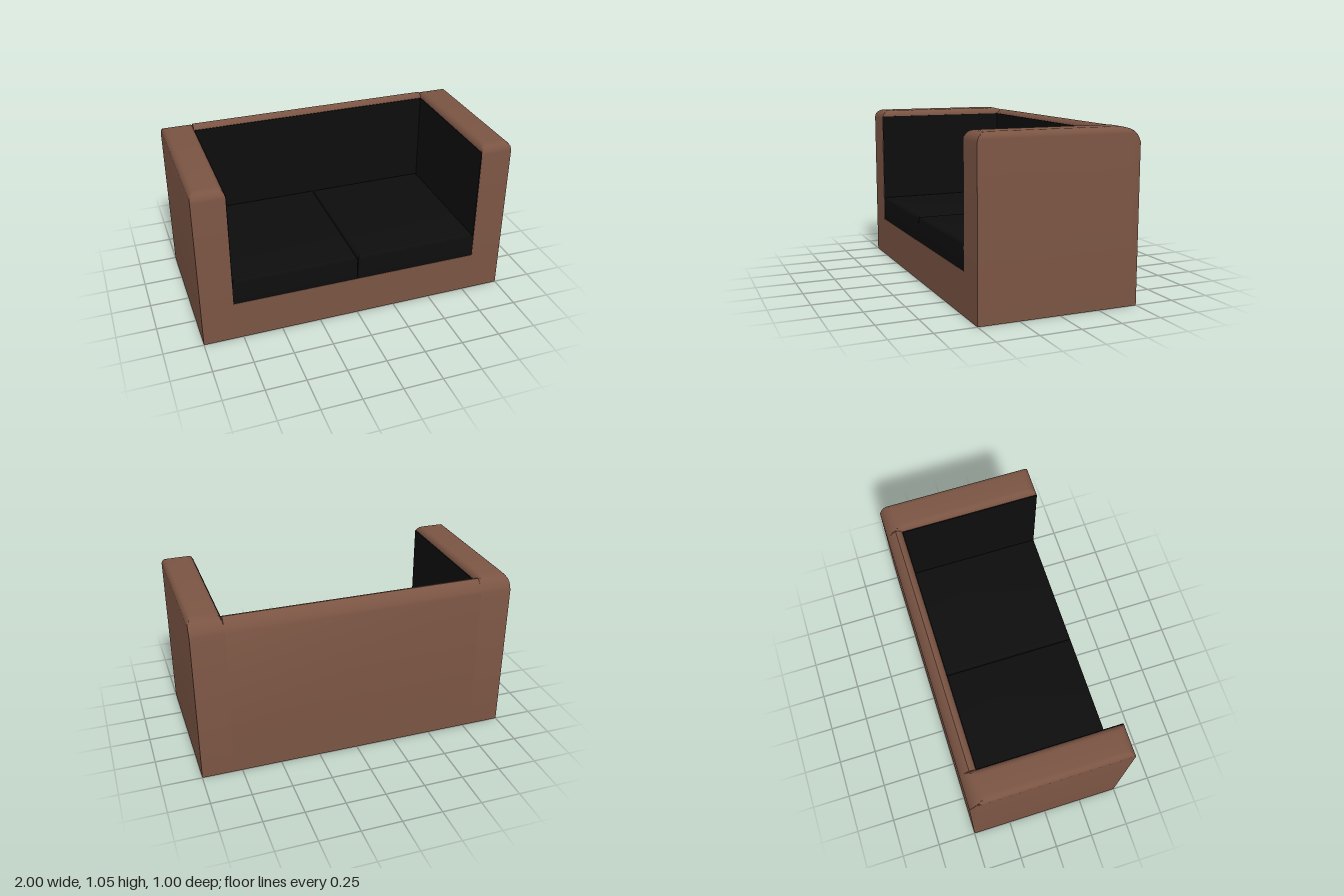
import * as THREE from 'three';
import { toCreasedNormals } from 'three/addons/utils/BufferGeometryUtils.js';

const leather = new THREE.MeshStandardMaterial({ color: 0x7a5443 });
const lining = new THREE.MeshStandardMaterial({ color: 0x0d0d0d });

// Quarter-round steps from an edge inwards: [distance, drop]
function roundSteps(radius, n = 5) {
  return Array.from({ length: n + 1 }, (_, i) => {
    const a = (i / n) * Math.PI / 2;
    return [radius * (1 - Math.cos(a)), radius * (1 - Math.sin(a))];
  });
}

// Profile [position, height] that is flat in the middle and rounded at both ends
function roundedProfile(from, to, height, radius) {
  const steps = roundSteps(radius);
  return [
    ...steps.map(([d, drop]) => [from + d, height - drop]),
    ...steps.reverse().map(([d, drop]) => [to - d, height - drop]),
  ];
}

// Box whose top follows the lower of two profiles, giving mitred rounded edges
function block(name, material, bottom, xProfile, zProfile) {
  const nx = xProfile.length - 1, nz = zProfile.length - 1;
  const geometry = new THREE.BoxGeometry(1, 1, 1, nx, 1, nz);
  const p = geometry.attributes.position;
  for (let i = 0; i < p.count; i++) {
    const [x, hx] = xProfile[Math.round((p.getX(i) + 0.5) * nx)];
    const [z, hz] = zProfile[Math.round((p.getZ(i) + 0.5) * nz)];
    p.setXYZ(i, x, p.getY(i) > 0 ? Math.min(hx, hz) : bottom, z);
  }
  const mesh = new THREE.Mesh(toCreasedNormals(geometry, 0.6), material);
  mesh.name = name;
  return mesh;
}

// Plain box given by its limits
function box(name, material, x0, x1, y0, y1, z0, z1) {
  return block(name, material, y0, [[x0, y1], [x1, y1]], [[z0, y1], [z1, y1]]);
}

export function createModel() {
  const sofa = new THREE.Group();
  sofa.name = 'sofa';

  // Base under the seat
  sofa.add(box('base', leather, -0.8, 0.8, 0, 0.26, -0.5, 0.5));

  // Backrest with a rolled top
  const rearRoll = [[-0.5, 0.96], [-0.49, 0.985], [-0.478, 1.005], [-0.46, 1.025]];
  sofa.add(block('backrest', leather, 0.26, [[-0.8, 1.04], [0.8, 1.04]],
    [...rearRoll, [-0.44, 1.04], [-0.425, 1.037], [-0.41, 1.027], [-0.4, 1.01]]));
  sofa.add(box('backLining', lining, -0.8, 0.8, 0.26, 1.01, -0.4, -0.395));

  // Arms: small rounding across, larger rounding at the front, sloped to the rear
  const frontRoll = roundSteps(0.055).reverse().map(([d, drop]) => [0.5 - d, 1.05 - drop]);
  const armLength = [...rearRoll, [-0.43, 1.04], [-0.39, 1.05], ...frontRoll];
  for (const side of [-1, 1]) {
    const label = side > 0 ? 'left' : 'right';
    const [a, b] = side > 0 ? [0.8, 1] : [-1, -0.8];
    sofa.add(block(label + 'Arm', leather, 0, roundedProfile(a, b, 1.05, 0.04), armLength));

    // Dark lining on the inner face of the arm
    const [c, d] = side > 0 ? [0.795, 0.8] : [-0.8, -0.795];
    sofa.add(box(label + 'ArmLining', lining, c, d, 0.26, 1.01, -0.395, 0.498));

    // Seat cushion with softened top edges
    const [e, f] = side > 0 ? [0.002, 0.795] : [-0.795, -0.002];
    sofa.add(block(label + 'Cushion', lining, 0.26,
      roundedProfile(e, f, 0.425, 0.025), roundedProfile(-0.395, 0.498, 0.425, 0.025)));
  }
  return sofa;
}
